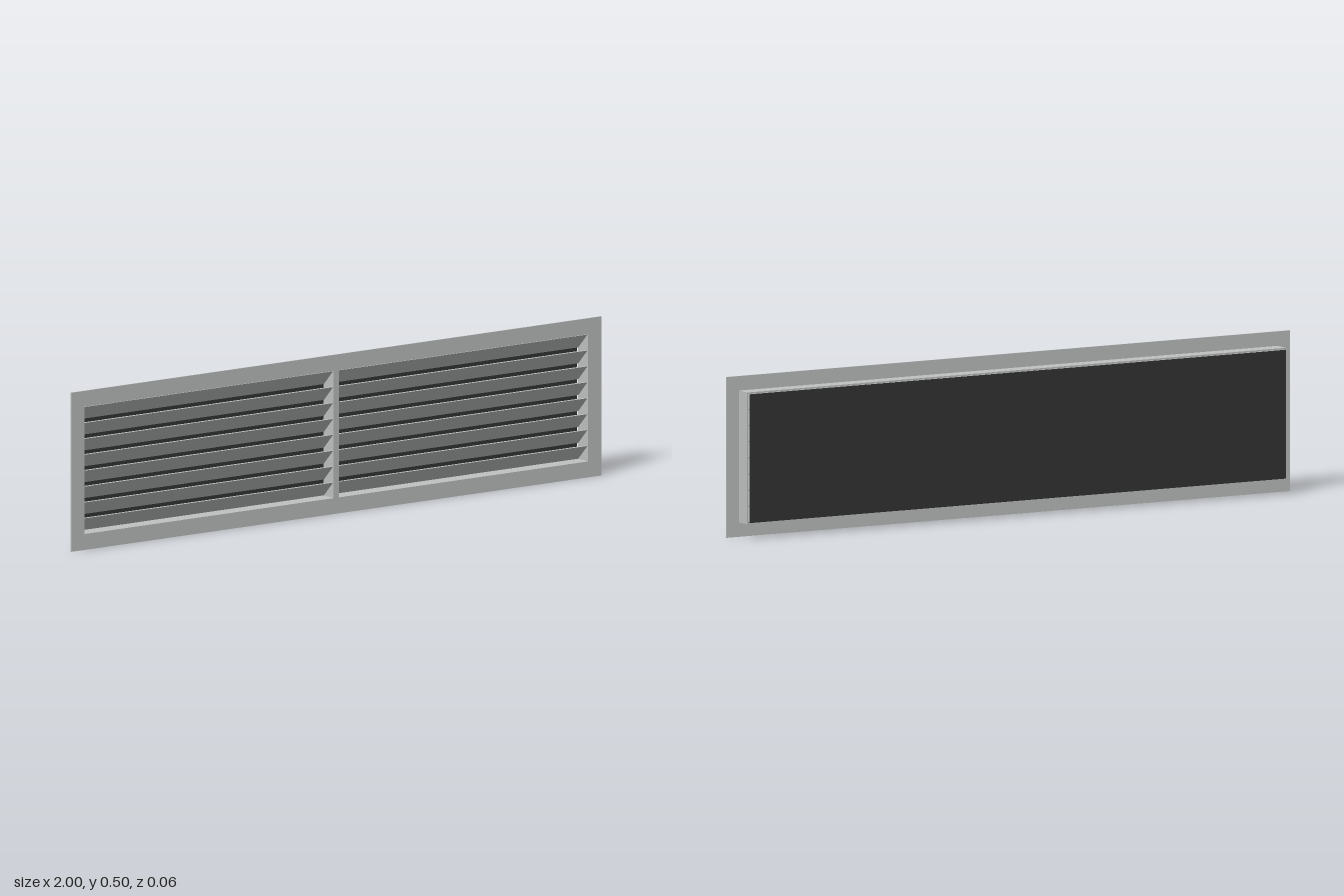
import * as THREE from 'three';

// Rectangular ring extruded along z, with front face at z1
function frame(x, y0, y1, ix, iy0, iy1, z0, z1) {
  const rect = (Type, w, a, b) => {
    const p = new Type();
    p.moveTo(-w, a);
    p.lineTo(w, a);
    p.lineTo(w, b);
    p.lineTo(-w, b);
    p.closePath();
    return p;
  };
  const shape = rect(THREE.Shape, x, y0, y1);
  shape.holes.push(rect(THREE.Path, ix, iy0, iy1));
  return new THREE.ExtrudeGeometry(shape, { depth: z1 - z0, bevelEnabled: false }).translate(0, 0, z0);
}

export function createModel() {
  const group = new THREE.Group();
  group.name = 'ventGrille';
  const metal = new THREE.MeshStandardMaterial({ color: 0xbfc2c1 });
  metal.name = 'light grey metal';
  const dark = new THREE.MeshStandardMaterial({ color: 0x343434 });
  dark.name = 'dark backing';

  const add = (name, geometry, material, x = 0, y = 0, z = 0) => {
    const mesh = new THREE.Mesh(geometry, material);
    mesh.name = name;
    mesh.position.set(x, y, z);
    group.add(mesh);
    return mesh;
  };

  // Thin front flange and the sleeve behind it
  add('flange', frame(1, 0, 0.5, 0.95, 0.05, 0.45, 0.028, 0.032), metal);
  add('sleeve', frame(0.955, 0.045, 0.455, 0.95, 0.05, 0.45, -0.022, 0.028), metal);

  // Central divider
  add('divider', new THREE.BoxGeometry(0.02, 0.4, 0.054), metal, 0, 0.25, 0.005);

  // Slats in both halves, front edge high and back edge low
  const slat = new THREE.BoxGeometry(0.94, 0.068, 0.003).rotateX(Math.PI / 4);
  for (const side of [-1, 1]) {
    for (let i = 0; i < 8; i++) {
      add('slat', slat, metal, side * 0.48, 0.075 + i * 0.05, 0.003);
    }
  }

  // Separate dark panel behind the sleeve
  add('backPanel', new THREE.BoxGeometry(1.9, 0.4, 0.004), dark, 0, 0.25, -0.03);

  return group;
}
